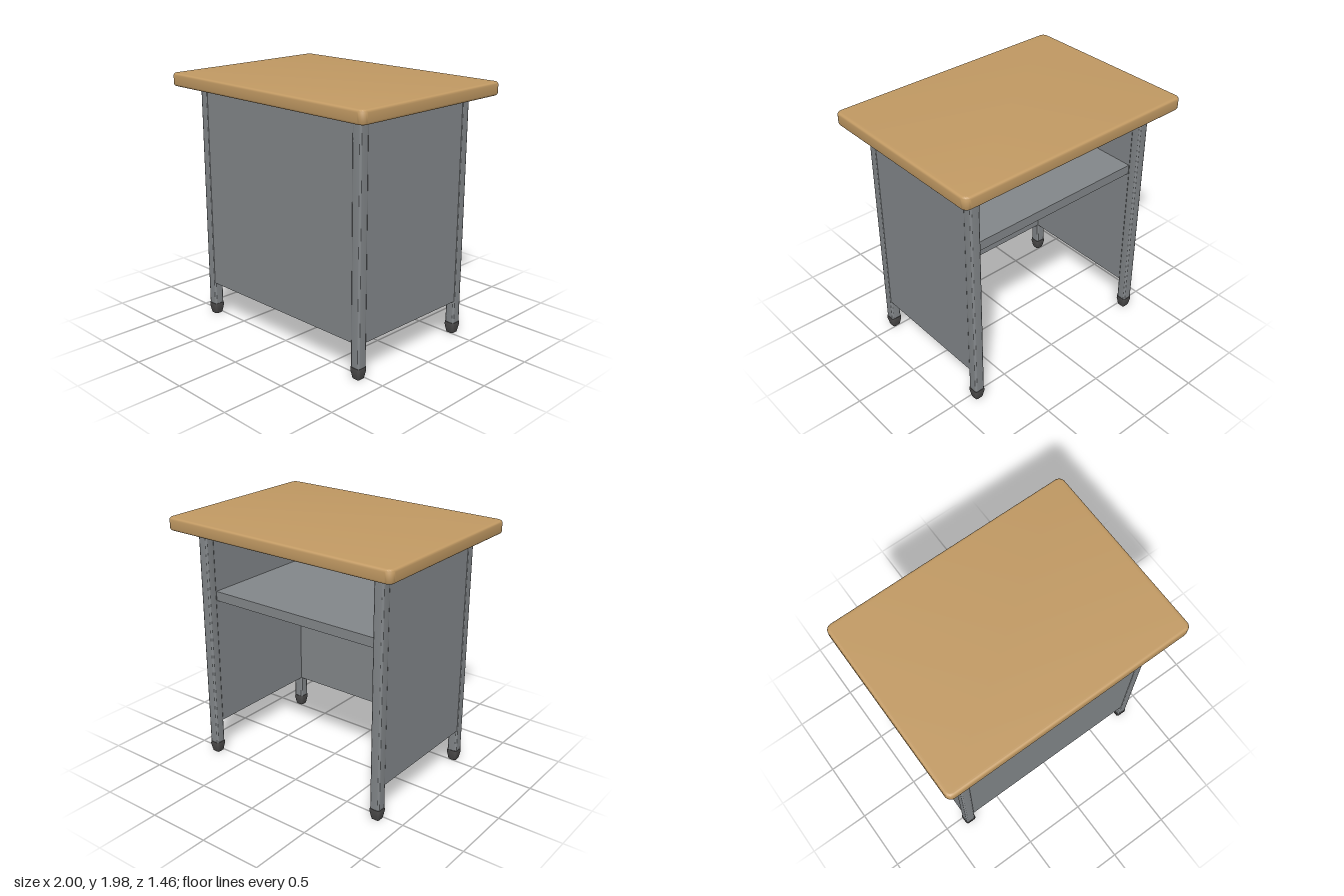
import * as THREE from 'three';
import { toCreasedNormals } from 'three/addons/utils/BufferGeometryUtils.js';

const LEG_X = 0.8, LEG_Z = 0.535, HALF = 0.04;
const LEG_BOTTOM = 0.08, PANEL_BOTTOM = 0.275, TOP_UNDER = 1.88;

// rectangle with rounded corners, centred on the origin
function roundedRect(w, d, r) {
  const x = w / 2 - r, y = d / 2 - r, s = new THREE.Shape();
  s.absarc(x, y, r, 0, Math.PI / 2);
  s.absarc(-x, y, r, Math.PI / 2, Math.PI);
  s.absarc(-x, -y, r, Math.PI, Math.PI * 1.5);
  s.absarc(x, -y, r, Math.PI * 1.5, Math.PI * 2);
  s.closePath();
  return s;
}

// upright slab from y0 to y1 with rounded corners and optional rounded rims
function slab(w, d, r, y0, y1, bevel, segments) {
  const geo = new THREE.ExtrudeGeometry(roundedRect(w - 2 * bevel, d - 2 * bevel, r), {
    depth: y1 - y0 - 2 * bevel, curveSegments: segments,
    bevelEnabled: bevel > 0, bevelThickness: bevel, bevelSize: bevel, bevelSegments: 4,
  });
  geo.rotateX(-Math.PI / 2).translate(0, y0 + bevel, 0);
  return toCreasedNormals(geo, 0.8);
}

// tapered square foot: a rounded square column scaled by height
function footGeometry() {
  const levels = [[0, 0.032], [0.015, 0.036], [0.065, 0.046], [0.09, 0.044]];
  const ring = roundedRect(2, 2, 0.45).getPoints(4).slice(0, -1);
  const n = ring.length, pos = [], index = [];
  levels.forEach(([y, s]) => ring.forEach(p => pos.push(p.x * s, y, -p.y * s)));
  for (let l = 0; l < levels.length - 1; l++) {
    for (let i = 0; i < n; i++) {
      const a = l * n + i, b = l * n + (i + 1) % n;
      index.push(a, b, b + n, a, b + n, a + n);
    }
  }
  // end caps
  const last = (levels.length - 1) * n;
  for (let i = 1; i < n - 1; i++) index.push(0, i + 1, i, last, last + i, last + i + 1);
  const geo = new THREE.BufferGeometry();
  geo.setAttribute('position', new THREE.Float32BufferAttribute(pos, 3));
  geo.setIndex(index);
  return toCreasedNormals(geo, 0.7);
}

export function createModel() {
  const model = new THREE.Group();
  model.name = 'desk';
  const material = (name, color) => {
    const m = new THREE.MeshStandardMaterial({ color });
    m.name = name;
    return m;
  };
  const wood = material('wood', 0xc39b64);
  const metal = material('grey metal', 0x84888b);
  const rubber = material('dark rubber', 0x4c4b4b);

  const add = (name, geo, mat, x = 0, y = 0, z = 0) => {
    const mesh = new THREE.Mesh(geo, mat);
    mesh.name = name;
    mesh.position.set(x, y, z);
    model.add(mesh);
  };

  // table top
  add('tableTop', slab(2, 1.46, 0.03, TOP_UNDER, 1.98, 0.02, 4), wood);

  // four legs with feet
  const legGeo = slab(2 * HALF, 2 * HALF, 0.013, LEG_BOTTOM, TOP_UNDER + 0.01, 0, 3);
  const footGeo = footGeometry();
  for (const sx of [1, -1]) {
    for (const sz of [1, -1]) {
      const name = (sz > 0 ? 'front' : 'back') + (sx > 0 ? 'Left' : 'Right');
      add(name + 'Leg', legGeo, metal, sx * LEG_X, 0, sz * LEG_Z);
      add(name + 'Foot', footGeo, rubber, sx * LEG_X, 0, sz * LEG_Z);
    }
  }

  // side and front panels, nearly flush with the legs; the back is open
  const thick = 2 * HALF - 0.006;
  const height = TOP_UNDER + 0.01 - PANEL_BOTTOM;
  const midY = PANEL_BOTTOM + height / 2;
  const sideGeo = new THREE.BoxGeometry(thick, height, 2 * (LEG_Z - HALF) + 0.01);
  add('leftPanel', sideGeo, metal, LEG_X, midY, 0);
  add('rightPanel', sideGeo, metal, -LEG_X, midY, 0);
  add('frontPanel', new THREE.BoxGeometry(2 * (LEG_X - HALF) + 0.01, height, thick), metal, 0, midY, LEG_Z);

  // inner shelf
  add('shelf', new THREE.BoxGeometry(1.54, 0.075, 1.0), metal, 0, 1.345, 0.005);
  return model;
}
